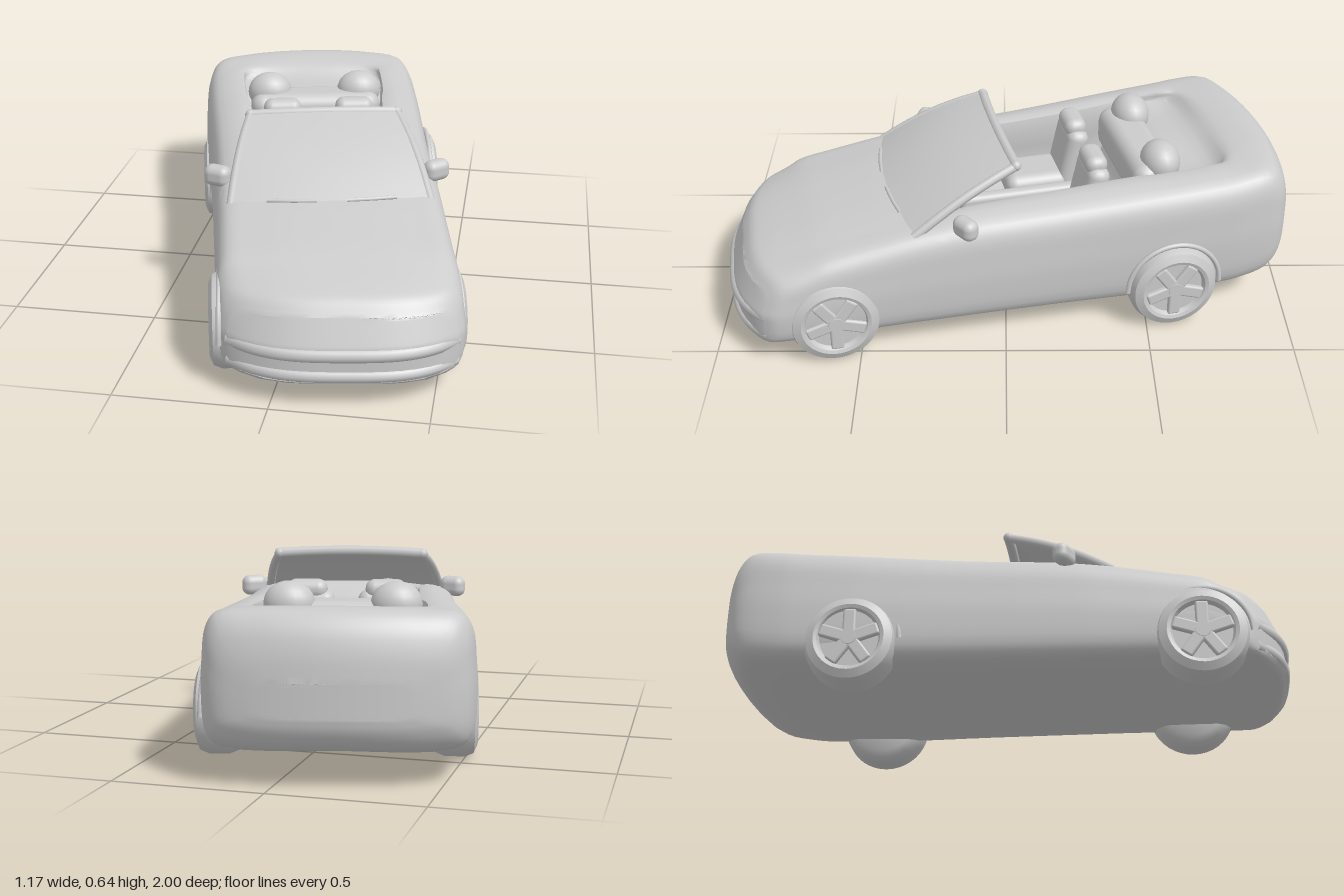
import * as THREE from 'three';
import { toCreasedNormals } from 'three/addons/utils/BufferGeometryUtils.js';
import { RoundedBoxGeometry } from 'three/addons/geometries/RoundedBoxGeometry.js';

const grey = new THREE.MeshStandardMaterial({ color: 0xcccccc });
const greyThin = new THREE.MeshStandardMaterial({ color: 0xcccccc, side: THREE.DoubleSide });
const V = (x, y, z) => new THREE.Vector3(x, y, z);

function add(parent, name, geometry, x = 0, y = 0, z = 0, material = grey) {
  const mesh = new THREE.Mesh(geometry, material);
  mesh.name = name;
  mesh.position.set(x, y, z);
  parent.add(mesh);
  return mesh;
}

const tube = (points, r) =>
  new THREE.TubeGeometry(new THREE.CatmullRomCurve3(points, false, 'centripetal'), 40, r, 8);

// Bows both ends in plan and leans the nose back above the bumper
function bowEnds(p) {
  const t = THREE.MathUtils.smoothstep(Math.abs(p.z), 0.65, 1);
  const u = Math.abs(p.x) / 0.38;
  if (p.z > 0) p.z += t * (0.07 * p.x - 0.115 * u ** 3 - 0.45 * Math.max(0, p.y - 0.21));
  else p.z += t * 0.06 * u * u;
  return p;
}

// Half cross-section from the underside centre, up the flank, into the cockpit
function section([z, w, yb, yt, wi, floor]) {
  const h = yt - yb, solid = floor > yt;
  return [
    [0, yb], [w * 0.84, yb], [w * 0.96, yb + 0.07 * h], [w, yb + 0.38 * h],
    [w * 0.99, yb + 0.62 * h], [w * 0.96, yb + 0.85 * h], [w * 0.88, yb + 0.96 * h],
    [wi, yt], solid ? [wi * 0.55, yt + 0.75 * (floor - yt)] : [wi * 0.96, floor], [0, floor],
  ].map(([x, y]) => V(x, y, z));
}

// Body shell lofted along the length, cockpit tub included
function bodyGeometry() {
  // z, half width, underside, top, cockpit half width, floor height
  const stations = [
    [0.992, 0.355, 0.10, 0.295, 0.24, 0.301],
    [0.975, 0.38, 0.086, 0.333, 0.25, 0.34],
    [0.93, 0.39, 0.085, 0.352, 0.26, 0.361],
    [0.78, 0.393, 0.085, 0.383, 0.265, 0.395],
    [0.6, 0.393, 0.085, 0.415, 0.265, 0.43],
    [0.42, 0.395, 0.085, 0.447, 0.265, 0.46],
    [0.3, 0.398, 0.085, 0.463, 0.265, 0.464],
    [0.2, 0.40, 0.085, 0.473, 0.255, 0.27],
    [-0.1, 0.408, 0.085, 0.487, 0.25, 0.25],
    [-0.4, 0.422, 0.085, 0.508, 0.255, 0.27],
    [-0.5, 0.427, 0.088, 0.515, 0.27, 0.47],
    [-0.7, 0.432, 0.095, 0.53, 0.275, 0.5],
    [-0.78, 0.43, 0.10, 0.538, 0.27, 0.54],
    [-0.92, 0.415, 0.122, 0.54, 0.25, 0.547],
    [-0.965, 0.395, 0.155, 0.50, 0.23, 0.504],
    [-0.99, 0.355, 0.195, 0.43, 0.2, 0.432],
    [-1.0, 0.25, 0.235, 0.34, 0.14, 0.341],
  ].map(section);
  const steps = (stations.length - 1) * 4;
  const rails = stations[0].map((_, j) =>
    new THREE.CatmullRomCurve3(stations.map(s => s[j]), false, 'centripetal').getPoints(steps));
  const pos = [], idx = [], half = 36, n = half * 2, cols = 16;
  const push = p => pos.push(...bowEnds(p).toArray());
  const ringAt = i =>
    new THREE.CatmullRomCurve3(rails.map(r => r[i]), false, 'centripetal').getPoints(half);
  for (let i = 0; i <= steps; i++) {
    const ring = ringAt(i);
    for (let j = 0; j < n; j++) {
      const p = ring[j <= half ? j : n - j].clone();
      if (j > half) p.x *= -1;
      push(p);
    }
  }
  for (let i = 0; i < steps; i++) for (let j = 0; j < n; j++) {
    const a = i * n + j, b = i * n + (j + 1) % n;
    idx.push(a, a + n, b, b, a + n, b + n);
  }
  // Nose and tail faces, filled with rows that follow the bow
  for (const i of [0, steps]) {
    const start = pos.length / 3;
    for (const p of ringAt(i))
      for (let k = 0; k <= cols; k++) push(V(p.x * (2 * k / cols - 1), p.y, p.z));
    for (let j = 0; j < half; j++) for (let k = 0; k < cols; k++) {
      const a = start + j * (cols + 1) + k, b = a + 1, c = a + cols + 1, d = c + 1;
      if (i === 0) idx.push(a, b, c, b, d, c);
      else idx.push(a, c, b, b, c, d);
    }
  }
  const g = new THREE.BufferGeometry();
  g.setAttribute('position', new THREE.Float32BufferAttribute(pos, 3));
  g.setIndex(idx);
  return toCreasedNormals(g, 0.75);
}

// Point on the raked windshield; u across, v from base to top
function glassPoint(u, v) {
  return V(u * (0.335 - 0.055 * v - 0.02 * v * v),
    0.45 + 0.183 * v + 0.018 * Math.sin(Math.PI * v) - 0.008 * u * u,
    0.45 - 0.415 * v - (0.055 - 0.045 * v) * u * u);
}

function windshield(parent) {
  const group = new THREE.Group();
  group.name = 'windshield';
  parent.add(group);
  const g = new THREE.PlaneGeometry(2, 1, 16, 8), p = g.attributes.position;
  for (let i = 0; i < p.count; i++) {
    const q = glassPoint(p.getX(i), p.getY(i) + 0.5);
    p.setXYZ(i, q.x, q.y, q.z);
  }
  g.computeVertexNormals();
  add(group, 'windshieldGlass', g, 0, 0, 0, greyThin);
  const edge = [];
  for (let i = 0; i <= 6; i++) edge.push(glassPoint(-1 + i / 3, 1));
  add(group, 'windshieldHeader', tube(edge, 0.018), 0, -0.01, 0);
  for (const s of [-1, 1]) {
    const pillar = [0, 0.25, 0.5, 0.75, 1].map(v => glassPoint(s, v));
    add(group, 'windshieldPillar', tube(pillar, 0.016), 0, -0.012, 0);
    add(group, 'pillarCorner', new THREE.SphereGeometry(0.019, 12, 8), pillar[4].x, pillar[4].y - 0.01, pillar[4].z);
    // Wipers at the glass base
    const wiper = [0, 0.25, 0.5].map(d => glassPoint(-0.25 + s * 0.4 + d, 0.03).add(V(0, 0.003, 0.004)));
    add(group, 'wiper', tube(wiper, 0.007));
  }
}

function wheel(parent, side, z, x) {
  const w = new THREE.Group();
  w.name = 'wheel';
  const profile = [[0, -0.085], [0.12, -0.085], [0.145, -0.068], [0.158, -0.035], [0.158, 0.03],
    [0.147, 0.058], [0.12, 0.07], [0.108, 0.066], [0.1, 0.05], [0, 0.05]];
  const tyre = new THREE.LatheGeometry(profile.map(([r, y]) => new THREE.Vector2(r, y)), 40);
  add(w, 'tyre', toCreasedNormals(tyre, 0.7));
  add(w, 'hub', new THREE.CylinderGeometry(0.026, 0.034, 0.03, 20), 0, 0.053, 0);
  for (let i = 0; i < 5; i++) {
    const a = i * Math.PI * 2 / 5;
    const spoke = add(w, 'spoke', new RoundedBoxGeometry(0.09, 0.024, 0.045, 2, 0.008),
      Math.cos(a) * 0.06, 0.054, -Math.sin(a) * 0.06);
    spoke.rotation.y = a;
  }
  w.rotation.z = -side * Math.PI / 2;
  w.position.set(side * x, 0.16, z);
  parent.add(w);
  // Thin lip around the wheel arch
  const arch = [];
  for (let i = 0; i <= 12; i++) {
    const a = Math.PI * i / 12;
    arch.push(V(side * (x + 0.04 - 0.006 * Math.sin(a)), 0.16 + 0.168 * Math.sin(a), z + 0.168 * Math.cos(a)));
  }
  add(parent, 'archLip', tube(arch, 0.009));
}

export function createModel() {
  const model = new THREE.Group();
  model.name = 'convertible';
  const car = new THREE.Group();
  car.name = 'car';
  car.rotation.y = THREE.MathUtils.degToRad(13);
  car.position.x = 0.012;
  model.add(car);

  add(car, 'body', bodyGeometry());
  windshield(car);
  wheel(car, -1, 0.68, 0.343);
  wheel(car, 1, 0.68, 0.335);
  wheel(car, -1, -0.5, 0.372);
  wheel(car, 1, -0.5, 0.412);

  for (const s of [-1, 1]) {
    // Door mirrors
    const mirror = add(car, 'mirror', new RoundedBoxGeometry(0.095, 0.075, 0.06, 3, 0.028), s * 0.378, 0.47, 0.225);
    mirror.rotation.y = s * 0.5;
    add(car, 'mirrorArm', tube([V(s * 0.32, 0.45, 0.25), V(s * 0.35, 0.455, 0.235), V(s * 0.375, 0.465, 0.225)], 0.015));

    // Front seats
    add(car, 'seatCushion', new RoundedBoxGeometry(0.19, 0.1, 0.24, 3, 0.04), s * 0.135, 0.31, -0.14);
    const back = add(car, 'seatBack', new RoundedBoxGeometry(0.19, 0.25, 0.08, 3, 0.035), s * 0.135, 0.4, -0.27);
    back.rotation.x = -0.2;
    add(car, 'headrest', new RoundedBoxGeometry(0.14, 0.07, 0.08, 3, 0.033), s * 0.135, 0.525, -0.285);

    // Rear seat bolsters
    const bolster = add(car, 'rearBolster', new THREE.SphereGeometry(1, 20, 14), s * 0.175, 0.51, -0.52);
    bolster.scale.set(0.085, 0.075, 0.07);
  }

  // Rear bench and cabin fittings
  add(car, 'rearBench', new RoundedBoxGeometry(0.5, 0.16, 0.16, 3, 0.05), 0, 0.44, -0.49);
  add(car, 'centreConsole', new RoundedBoxGeometry(0.05, 0.1, 0.5, 2, 0.02), 0, 0.3, -0.08);
  const steering = add(car, 'steeringWheel', new THREE.TorusGeometry(0.06, 0.012, 8, 28), -0.135, 0.45, 0.1);
  steering.rotation.x = -0.4;
  add(car, 'steeringColumn', tube([V(-0.135, 0.45, 0.1), V(-0.135, 0.43, 0.15), V(-0.135, 0.41, 0.22)], 0.016));

  // Bumper ridges above and below the intake slot
  for (const [y, r] of [[0.118, 0.022], [0.19, 0.024]]) {
    const ridge = [];
    for (let i = 0; i <= 10; i++) {
      const x = -0.35 + 0.07 * i;
      ridge.push(bowEnds(V(x, y, 0.983 - 0.02 * (x / 0.35) ** 4)));
    }
    add(car, 'bumperRidge', tube(ridge, r));
  }
  return model;
}
